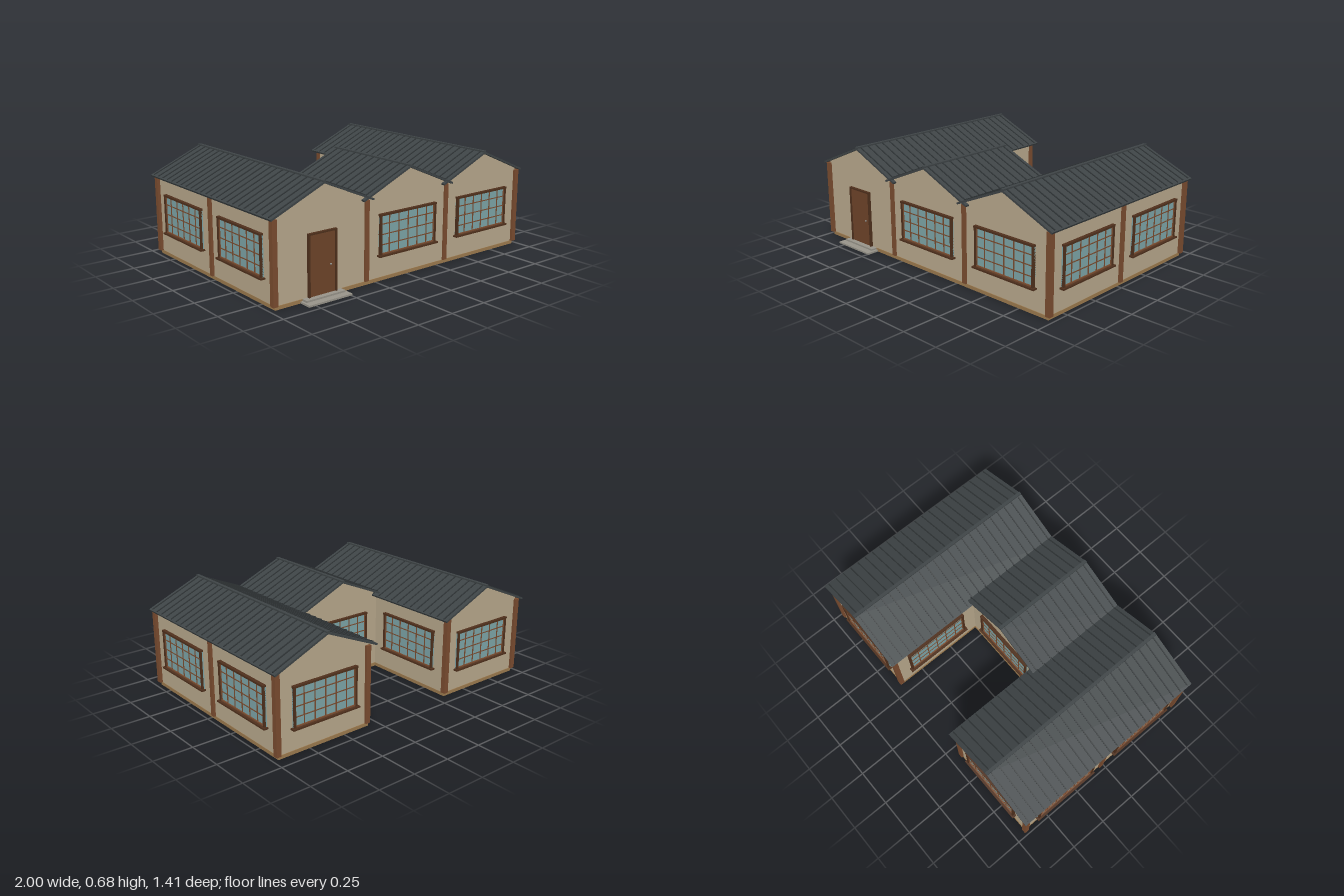
import * as THREE from 'three';

const mat = (name, color, side = THREE.FrontSide) => {
  const m = new THREE.MeshStandardMaterial({ color, side });
  m.name = name;
  return m;
};

export function createModel() {
  const M = {
    wall: mat('tan plaster', 0xb8a88c),
    base: mat('ochre plinth', 0x9c7a4e),
    post: mat('brown timber', 0x7a4c2f),
    frame: mat('dark timber', 0x4f301c),
    glass: mat('blue glass', 0x7da5a8),
    roof: mat('slate roof', 0x3e4446),
    rib: mat('dark roof seam', 0x2f3436),
    step: mat('grey stone', 0x98948a),
    door: mat('door wood', 0x6e4429),
    knob: mat('steel knob', 0x8c8a84),
  };
  const model = new THREE.Group();
  model.name = 'building';

  const box = (parent, name, m, w, h, d, x, y, z) => {
    const mesh = new THREE.Mesh(new THREE.BoxGeometry(w, h, d), m);
    mesh.name = name;
    mesh.position.set(x, y, z);
    parent.add(mesh);
    return mesh;
  };
  const group = (parent, name, x = 0, y = 0, z = 0, ry = 0) => {
    const g = new THREE.Group();
    g.name = name;
    g.position.set(x, y, z);
    g.rotation.y = ry;
    parent.add(g);
    return g;
  };

  const FRONT = 0.62, MID = -0.025, BACK = -0.67, SIDE = 0.965, INNER = 0.32;
  const TOP = 0.515;

  // Box given by its limits in x, y and z
  const span = (parent, name, m, x0, x1, y0, y1, z0, z1) =>
    box(parent, name, m, x1 - x0, y1 - y0, z1 - z0, (x0 + x1) / 2, (y0 + y1) / 2, (z0 + z1) / 2);

  // Gable prism closing the wall below the roof
  const gable = (parent, z0, z1) => {
    const s = new THREE.Shape([
      [-0.322, TOP], [0.322, TOP], [0.322, 0.525], [0, 0.662], [-0.322, 0.525],
    ].map(([x, y]) => new THREE.Vector2(x, y)));
    const geo = new THREE.ExtrudeGeometry(s, { depth: z1 - z0 + 0.004, bevelEnabled: false });
    const mesh = new THREE.Mesh(geo, M.wall);
    mesh.name = 'gable';
    mesh.position.z = z0 - 0.002;
    parent.add(mesh);
  };

  // Pitched metal roof with standing seams and a ridge cap
  const RUN = 0.36, RISE = 0.155, L = Math.hypot(RUN, RISE), pitch = Math.atan2(RISE, RUN);
  const roof = (parent, z0, z1) => {
    const len = z1 - z0, zc = (z0 + z1) / 2;
    const r = group(parent, 'roof', 0, 0.675, zc);
    const n = Math.round(len / 0.0585);
    for (const s of [-1, 1]) {
      const slope = group(r, 'roofSlope');
      slope.rotation.z = -s * pitch;
      box(slope, 'roofSheet', M.roof, L, 0.012, len, s * L / 2, -0.006, 0);
      for (let i = 0; i < n; i++) {
        box(slope, 'roofSeam', M.rib, L - 0.02, 0.006, 0.007, s * L / 2, 0.002, ((i + 0.5) / n - 0.5) * len);
      }
    }
    box(r, 'ridgeCap', M.roof, 0.02, 0.01, len, 0, 0, 0);
  };

  // Three bays: two long wings and a short middle
  for (const [name, x, back, roofBack] of [
    ['rightWing', -0.64, BACK, -0.705], ['middleBay', 0, MID, -0.065], ['leftWing', 0.64, BACK, -0.705],
  ]) {
    const bay = group(model, name, x);
    const out = Math.sign(x) * (SIDE - 0.96);
    const x0 = -0.32 + Math.min(out, 0), x1 = 0.32 + Math.max(out, 0);
    span(bay, 'plinth', M.base, x0 - 0.002, x1 + 0.002, 0, 0.022, back - 0.004, FRONT + 0.004);
    span(bay, 'walls', M.wall, x0, x1, 0.022, TOP, back, FRONT);
    gable(bay, back, FRONT);
    roof(bay, roofBack, 0.645);
  }

  // Timber posts at corners and between bays
  const post = (x, z, w = 0.032) => box(model, 'post', M.post, w, 0.49, w, x, 0.267, z);
  for (const s of [-1, 1]) {
    post(s * 0.969, FRONT + 0.001);
    post(s * 0.969, BACK);
    post(s * 0.966, MID, 0.028);
    post(s * INNER, FRONT - 0.004, 0.03);
    post(s * (INNER + 0.008), BACK);
  }

  // Window facing local +z, six panes by four
  const makeWindow = (x, z, ry) => {
    const w = 0.45, h = 0.252, f = 0.012;
    const g = group(model, 'window', x, 0.286, z, ry);
    box(g, 'glass', M.glass, w, h, 0.008, 0, 0, 0.004);
    for (const s of [-1, 1]) {
      box(g, 'frameSide', M.frame, f, h, 0.02, s * (w - f) / 2, 0, 0.01);
      box(g, 'frameSideLining', M.post, 0.005, h - 0.02, 0.014, s * (w / 2 - f - 0.0025), 0, 0.007);
    }
    box(g, 'frameTop', M.frame, w + 0.004, f, 0.022, 0, h / 2 - f / 2 + 0.001, 0.011);
    box(g, 'frameBottom', M.post, w - 2 * f, 0.008, 0.016, 0, -h / 2 + 0.008, 0.008);
    box(g, 'sill', M.frame, w + 0.025, 0.01, 0.03, 0, -h / 2 - 0.002, 0.015);
    for (let i = 1; i < 6; i++) box(g, 'mullion', M.post, 0.006, h - f, 0.012, (i / 6 - 0.5) * w, 0, 0.006);
    for (let i = 1; i < 4; i++) box(g, 'glazingBar', M.post, w - f, 0.006, 0.011, 0, (i / 4 - 0.5) * h, 0.0055);
  };
  const Q = Math.PI / 2, zFront = 0.295, zBack = -0.348;
  makeWindow(0, FRONT, 0);
  makeWindow(0.64, FRONT, 0);
  makeWindow(0, MID, Math.PI);
  for (const s of [-1, 1]) {
    makeWindow(s * 0.64, BACK, Math.PI);
    makeWindow(s * SIDE, zFront, s * Q);
    makeWindow(s * SIDE, zBack, s * Q);
    makeWindow(s * INNER, zBack, -s * Q);
  }

  // Front door with frame and knob
  const door = group(model, 'door', -0.647, 0, FRONT);
  box(door, 'doorLeaf', M.door, 0.18, 0.36, 0.01, 0, 0.202, 0.005);
  for (const s of [-1, 1]) box(door, 'doorJamb', M.frame, 0.01, 0.37, 0.018, s * 0.094, 0.207, 0.009);
  box(door, 'doorHead', M.frame, 0.198, 0.01, 0.018, 0, 0.387, 0.009);
  const knob = new THREE.Mesh(new THREE.SphereGeometry(0.006, 12, 8), M.knob);
  knob.name = 'doorKnob';
  knob.position.set(0.056, 0.19, 0.015);
  door.add(knob);

  // Stone steps
  span(model, 'lowerStep', M.step, -0.797, -0.493, 0, 0.011, FRONT, 0.705);
  span(model, 'upperStep', M.step, -0.782, -0.508, 0.011, 0.022, FRONT, 0.662);

  return model;
}
